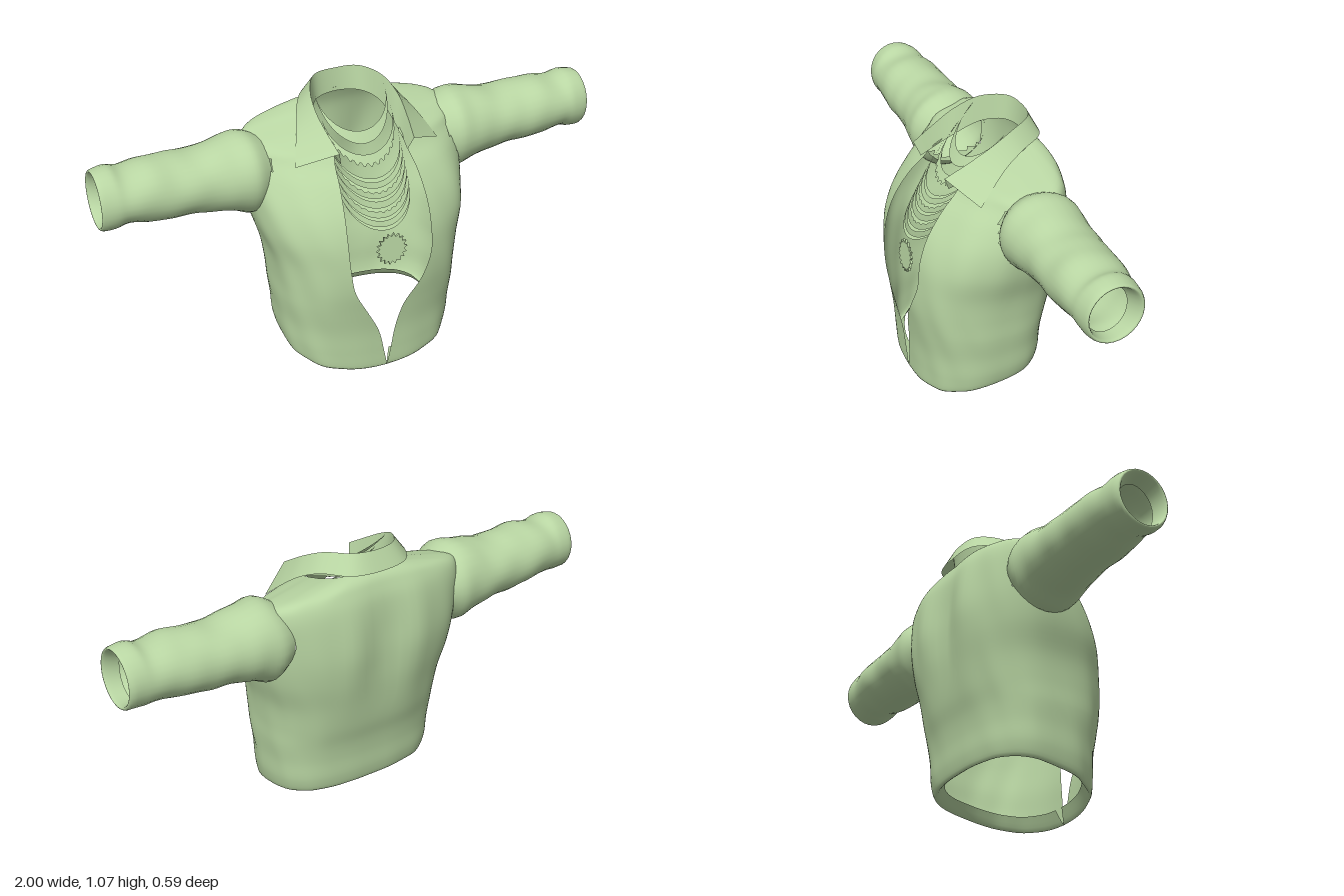
import * as THREE from 'three';

const cloth = new THREE.MeshStandardMaterial({ color: 0xb9d6a3, side: THREE.DoubleSide });
cloth.name = 'sageGreen';

// Smooth interpolation through a table of cross-section settings, t in 0..1
function sampleTable(table, t) {
  const f = t * (table.length - 1), i = Math.min(Math.floor(f), table.length - 2), u = f - i;
  const at = k => table[Math.max(0, Math.min(table.length - 1, k))];
  return at(i).map((b, k) => {
    const a = at(i - 1)[k], c = at(i + 1)[k], d = at(i + 2)[k];
    return b + 0.5 * u * (c - a + u * (2 * a - 5 * b + 4 * c - d + u * (3 * (b - c) + d - a)));
  });
}

// Surface through rows of points, optionally closed round and with quads left out
function loft(name, rows, closed = false, skip = () => false) {
  const n = rows[0].length, index = [];
  for (let r = 0; r < rows.length - 1; r++) {
    for (let i = 0; i < (closed ? n : n - 1); i++) {
      const j = (i + 1) % n;
      if (skip(rows[r][i]) || skip(rows[r + 1][j])) continue;
      const a = r * n + i, b = r * n + j, c = a + n, d = b + n;
      index.push(a, b, c, b, d, c);
    }
  }
  const g = new THREE.BufferGeometry().setFromPoints(rows.flat());
  g.setIndex(index);
  g.computeVertexNormals();
  const mesh = new THREE.Mesh(g, cloth);
  mesh.name = name;
  return mesh;
}

const spow = (v, p) => Math.sign(v) * Math.abs(v) ** p;

// Open-fronted body with armholes
function makeBody() {
  // front y, back y, half width, front z, back z, opening at left, opening at right, front roundness
  const table = [
    [0.06, 0.15, 0.29, 0.24, -0.17, 0.02, 0.02, 0.74],
    [0.00, 0.11, 0.325, 0.265, -0.20, 0.00, 0.00, 0.74],
    [0.08, 0.16, 0.345, 0.27, -0.215, 0.015, 0.015, 0.74],
    [0.18, 0.24, 0.352, 0.275, -0.22, 0.03, 0.04, 0.74],
    [0.29, 0.31, 0.362, 0.29, -0.23, 0.06, 0.095, 0.74],
    [0.39, 0.39, 0.366, 0.305, -0.25, 0.125, 0.145, 0.75],
    [0.49, 0.49, 0.378, 0.307, -0.268, 0.17, 0.162, 0.77],
    [0.60, 0.60, 0.41, 0.295, -0.285, 0.172, 0.168, 0.82],
    [0.70, 0.70, 0.425, 0.262, -0.292, 0.168, 0.165, 0.9],
    [0.79, 0.80, 0.43, 0.205, -0.285, 0.16, 0.157, 1.02],
    [0.84, 0.89, 0.43, 0.155, -0.27, 0.15, 0.15, 1.15],
    [0.865, 0.945, 0.405, 0.135, -0.25, 0.145, 0.145, 1.2],
    [0.88, 0.975, 0.29, 0.125, -0.232, 0.14, 0.14, 1.05],
    [0.89, 0.995, 0.17, 0.12, -0.205, 0.135, 0.135, 0.8],
  ];
  const segs = 80, steps = 65, rows = [];
  for (let r = 0; r <= steps; r++) {
    const [yF, yB, w, zF, zB, oL, oR, pF] = sampleTable(table, r / steps);
    const start = Math.asin((Math.max(0, oL) / w) ** (1 / pF));
    const end = 2 * Math.PI - Math.asin((Math.max(0, oR) / w) ** (1 / pF));
    const zc = (zF + zB) / 2 - 0.03, row = [];
    for (let i = 0; i <= segs; i++) {
      const a = start + (end - start) * i / segs, c = Math.cos(a), p = c > 0 ? pF : 0.74;
      const x = w * spow(Math.sin(a), p);
      let z = zc + spow(c, p) * (c > 0 ? zF - zc : zc - zB);
      const t = THREE.MathUtils.clamp((zF - z) / (zF - zB), 0, 1);
      const y = yF + (yB - yF) * t ** (yF < 0.3 ? 0.6 : 1);
      // soft folds and the hollow between the shoulder blades
      const blade = Math.exp(-(((y - 0.72) / 0.2) ** 2));
      if (c < 0) z += 0.028 * blade * (Math.exp(-((x / 0.07) ** 2)) - 0.3 * Math.exp(-(((Math.abs(x) - 0.15) / 0.05) ** 2)));
      const fold = 0.003 * Math.sin(11 * a + 7 * y) * Math.sin(9 * y + 2 * a) * Math.min(1, Math.abs(x) * 4);
      row.push(new THREE.Vector3(x * (1 + fold * 2), y, z + fold));
    }
    rows.push(row);
  }
  return loft('shirtBody', rows, false, v =>
    Math.abs(v.x) > 0.34 && ((v.y - 0.79) / 0.115) ** 2 + ((v.z + 0.085) / 0.125) ** 2 < 1);
}

// Hollow sleeve with a turned-in cuff
function makeSleeve() {
  // x, bottom y, top y, back z, front z
  const table = [
    [0.36, 0.675, 0.915, -0.22, 0.04],
    [0.42, 0.63, 0.947, -0.243, 0.07],
    [0.50, 0.655, 0.938, -0.238, 0.06],
    [0.60, 0.675, 0.917, -0.23, 0.05],
    [0.70, 0.682, 0.918, -0.225, 0.048],
    [0.80, 0.69, 0.924, -0.218, 0.05],
    [0.89, 0.703, 0.913, -0.205, 0.04],
    [0.94, 0.695, 0.926, -0.20, 0.04],
    [0.99, 0.692, 0.922, -0.19, 0.03],
    [0.995, 0.705, 0.91, -0.175, 0.018],
    [0.94, 0.705, 0.89, -0.152, 0.003],
  ];
  const rows = [], steps = 50, segs = 28;
  for (let r = 0; r <= steps; r++) {
    const [x, y0, y1, z0, z1] = sampleTable(table, r / steps), row = [];
    const fade = r / steps < 0.8 ? 1 : 0.3;
    for (let i = 0; i < segs; i++) {
      const a = i / segs * Math.PI * 2;
      const k = 1 + fade * (0.012 * Math.sin(30 * x + 3 * a) + 0.008 * Math.sin(52 * x - 2 * a));
      row.push(new THREE.Vector3(Math.min(x, 1),
        (y0 + y1) / 2 + (y1 - y0) / 2 * k * Math.sin(a),
        (z0 + z1) / 2 + (z1 - z0) / 2 * k * Math.cos(a)));
    }
    rows.push(row);
  }
  return loft('sleeve', rows, true);
}

// Collar edge: half a list of points, mirrored into one smooth curve
function collarEdge(half) {
  const right = half.slice(1).reverse().map(([x, y, z]) => new THREE.Vector3(-x, y, z));
  const left = half.map(q => new THREE.Vector3(...q));
  return new THREE.CatmullRomCurve3([...right, ...left]).getPoints(50);
}

function makeCollar() {
  const top = collarEdge([[0, 1.072, -0.21], [0.09, 1.073, -0.19], [0.148, 1.06, -0.1],
    [0.168, 1.018, -0.005], [0.162, 0.965, 0.09], [0.15, 0.92, 0.168]]);
  const outer = collarEdge([[0, 1.0, -0.245], [0.12, 1.003, -0.225], [0.19, 0.997, -0.13],
    [0.228, 0.96, -0.045], [0.262, 0.908, 0.025], [0.29, 0.855, 0.085]]);
  const inner = collarEdge([[0, 0.98, -0.2], [0.09, 0.975, -0.175], [0.135, 0.96, -0.1],
    [0.142, 0.92, 0.01], [0.142, 0.885, 0.09], [0.135, 0.865, 0.145]]);
  const g = new THREE.Group();
  g.name = 'collar';
  g.add(loft('collarFlap', [top, outer]), loft('collarStand', [inner, top]));
  return g;
}

// Flat hanging necklaces, some with a notched lower edge
function makeNecklaces() {
  const g = new THREE.Group();
  g.name = 'necklaces';
  // lowest y, front z, width at the middle, notch depth
  const list = [
    [0.925, 0.045, 0.04, 0], [0.855, 0.105, 0.028, 0.01], [0.785, 0.165, 0.014, 0],
    [0.755, 0.185, 0.014, 0.005], [0.722, 0.205, 0.012, 0], [0.69, 0.222, 0.012, 0.004],
    [0.658, 0.24, 0.012, 0], [0.628, 0.255, 0.012, 0],
  ];
  for (const [low, front, width, notch] of list) {
    const upper = [], lower = [];
    for (let i = 0; i <= 64; i++) {
      const a = i / 64 * Math.PI, s = Math.sin(a);
      const v = new THREE.Vector3(0.14 * Math.cos(a), low + 0.12 * (1 - s), front - 0.12 * (1 - s));
      const drop = width * (0.2 + 0.8 * s) + (i % 4 < 2 ? notch : 0);
      upper.push(v);
      lower.push(v.clone().add(new THREE.Vector3(0, -drop, drop * 0.7)));
    }
    g.add(loft('necklace', [upper, lower]));
  }
  return g;
}

// Sunburst pendant
function makePendant() {
  const pts = [];
  for (let i = 0; i < 36; i++) {
    const a = i / 36 * Math.PI * 2, r = i % 2 ? 0.05 : 0.064;
    pts.push(new THREE.Vector2(r * Math.cos(a), r * Math.sin(a)));
  }
  const m = new THREE.Mesh(new THREE.ExtrudeGeometry(new THREE.Shape(pts), { depth: 0.008, bevelEnabled: false }), cloth);
  m.name = 'pendant';
  m.position.set(0.012, 0.535, 0.268);
  m.rotation.x = -0.12;
  return m;
}

export function createModel() {
  const model = new THREE.Group();
  model.name = 'openShirt';
  const left = makeSleeve(), right = left.clone();
  left.name = 'leftSleeve';
  right.name = 'rightSleeve';
  right.scale.x = -1;
  model.add(makeBody(), left, right, makeCollar(), makeNecklaces(), makePendant());
  return model;
}
